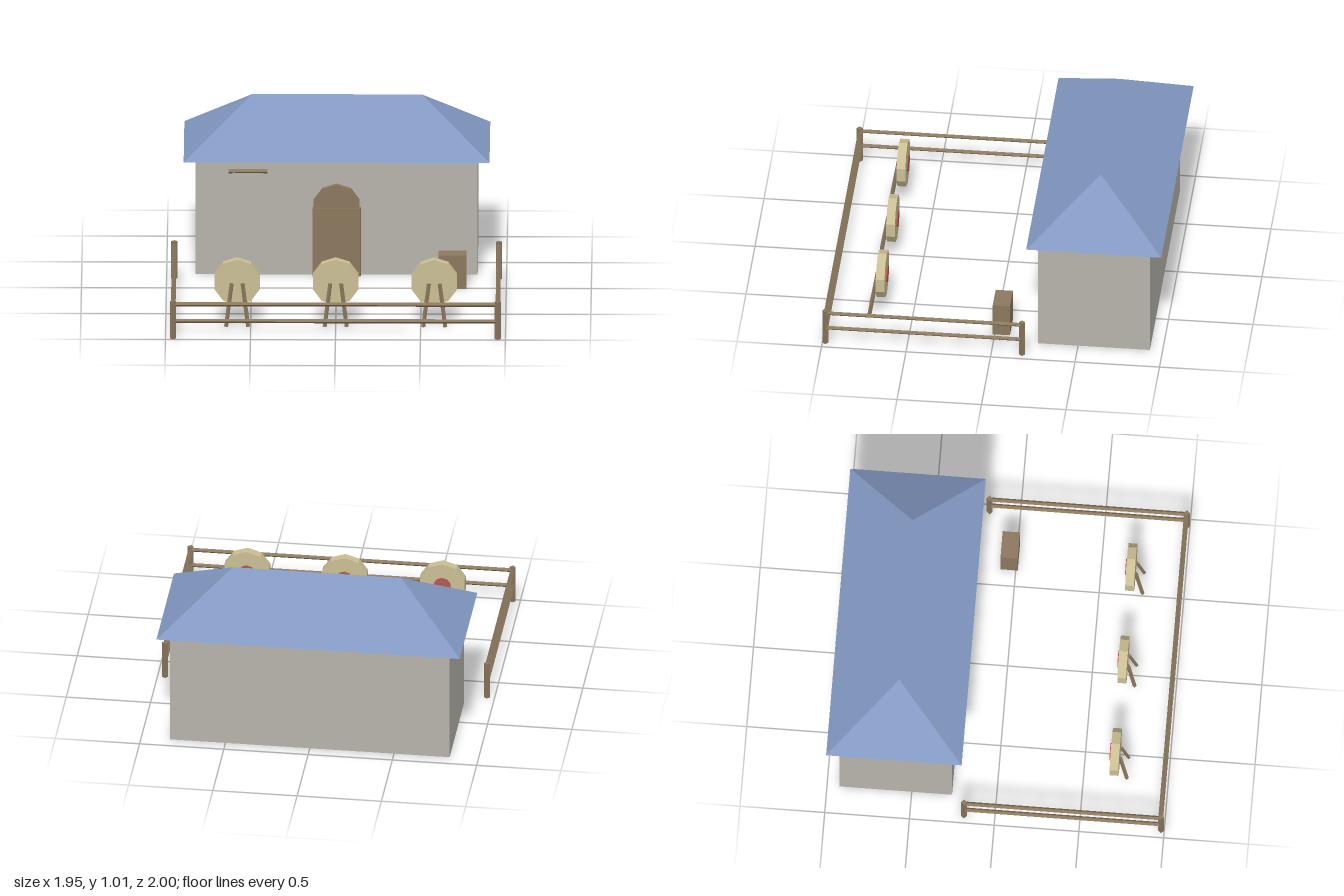
import * as THREE from 'three';

const mat = (name, color) => {
  const m = new THREE.MeshStandardMaterial({ color, flatShading: true });
  m.name = name;
  return m;
};

export function createModel() {
  const stone = mat('stone', 0xb6b3ab);
  const slate = mat('blue slate', 0x8298c2);
  const timber = mat('timber', 0x8b785e);
  const straw = mat('straw', 0xcbbf94);
  const red = mat('bullseye red', 0xb25a54);

  const model = new THREE.Group();
  model.name = 'targetRange';

  const add = (name, geometry, material, x, y, z, parent = model) => {
    const mesh = new THREE.Mesh(geometry, material);
    mesh.name = name;
    mesh.position.set(x, y, z);
    parent.add(mesh);
    return mesh;
  };
  const box = (name, material, [x0, x1], [y0, y1], [z0, z1], parent) =>
    add(name, new THREE.BoxGeometry(x1 - x0, y1 - y0, z1 - z0), material,
      (x0 + x1) / 2, (y0 + y1) / 2, (z0 + z1) / 2, parent);
  // Four-sided pole between two points
  const pole = (name, a, b, r, parent) => {
    const from = new THREE.Vector3(...a), to = new THREE.Vector3(...b);
    const dir = to.clone().sub(from);
    const mid = from.add(to).multiplyScalar(0.5);
    const mesh = add(name, new THREE.CylinderGeometry(r, r, dir.length(), 4), timber, mid.x, mid.y, mid.z, parent);
    mesh.quaternion.setFromUnitVectors(new THREE.Vector3(0, 1, 0), dir.normalize());
    return mesh;
  };
  // Ten-sided disc facing z
  const disc = (name, material, r, depth, x, y, z, parent) =>
    add(name, new THREE.CylinderGeometry(r, r, depth, 10).rotateX(Math.PI / 2), material, x, y, z, parent);

  // House walls
  box('walls', stone, [-0.83, 0.83], [0, 0.715], [-0.925, -0.262]);

  // Hipped roof: a box whose top is drawn in to a ridge
  const roof = new THREE.BoxGeometry(1.8, 0.295, 0.8);
  const p = roof.attributes.position;
  for (let i = 0; i < p.count; i++) {
    if (p.getY(i) > 0) {
      p.setX(i, Math.sign(p.getX(i)) * 0.5);
      p.setZ(i, 0);
    }
  }
  roof.computeVertexNormals();
  add('roof', roof, slate, 0, 0.71 + 0.1475, -0.6);

  // Arched door
  const door = new THREE.Group();
  door.name = 'door';
  model.add(door);
  box('doorPanel', timber, [-0.142, 0.142], [0, 0.42], [-0.265, -0.225], door);
  disc('doorArch', timber, 0.142, 0.036, 0, 0.42, -0.247, door);

  // Hanging cloth on its rod
  box('hanging', stone, [-0.614, -0.43], [0.295, 0.64], [-0.265, -0.252]);
  pole('hangingRod', [-0.636, 0.638, -0.257], [-0.408, 0.638, -0.257], 0.013);

  // Crate
  box('crate', timber, [0.6, 0.765], [0, 0.205], [-0.09, 0.012]);

  // Fence
  const fence = new THREE.Group();
  fence.name = 'fence';
  model.add(fence);
  const fx = 0.955, front = 0.982, back = -0.182;
  for (const x of [-fx, fx]) {
    for (const z of [front, back]) pole('fencePost', [x, 0, z], [x, 0.23, z], 0.018, fence);
  }
  for (const y of [0.107, 0.21]) {
    pole('frontRail', [-fx, y, front - 0.004], [fx, y, front - 0.004], 0.013, fence);
    for (const x of [-fx, fx]) pole('sideRail', [x, y, back], [x, y, front], 0.013, fence);
  }

  // Straw targets facing the house, each on two splayed legs
  for (const x of [-0.58, 0, 0.58]) {
    const target = new THREE.Group();
    target.name = 'target';
    target.position.x = x;
    model.add(target);
    disc('strawDisc', straw, 0.14, 0.052, 0, 0.26, 0.684, target);
    disc('bullseye', red, 0.05, 0.008, 0, 0.26, 0.655, target);
    for (const s of [-1, 1]) {
      pole('leg', [s * 0.065, 0.001, 0.755], [s * 0.032, 0.255, 0.713], 0.012, target);
    }
  }

  return model;
}
